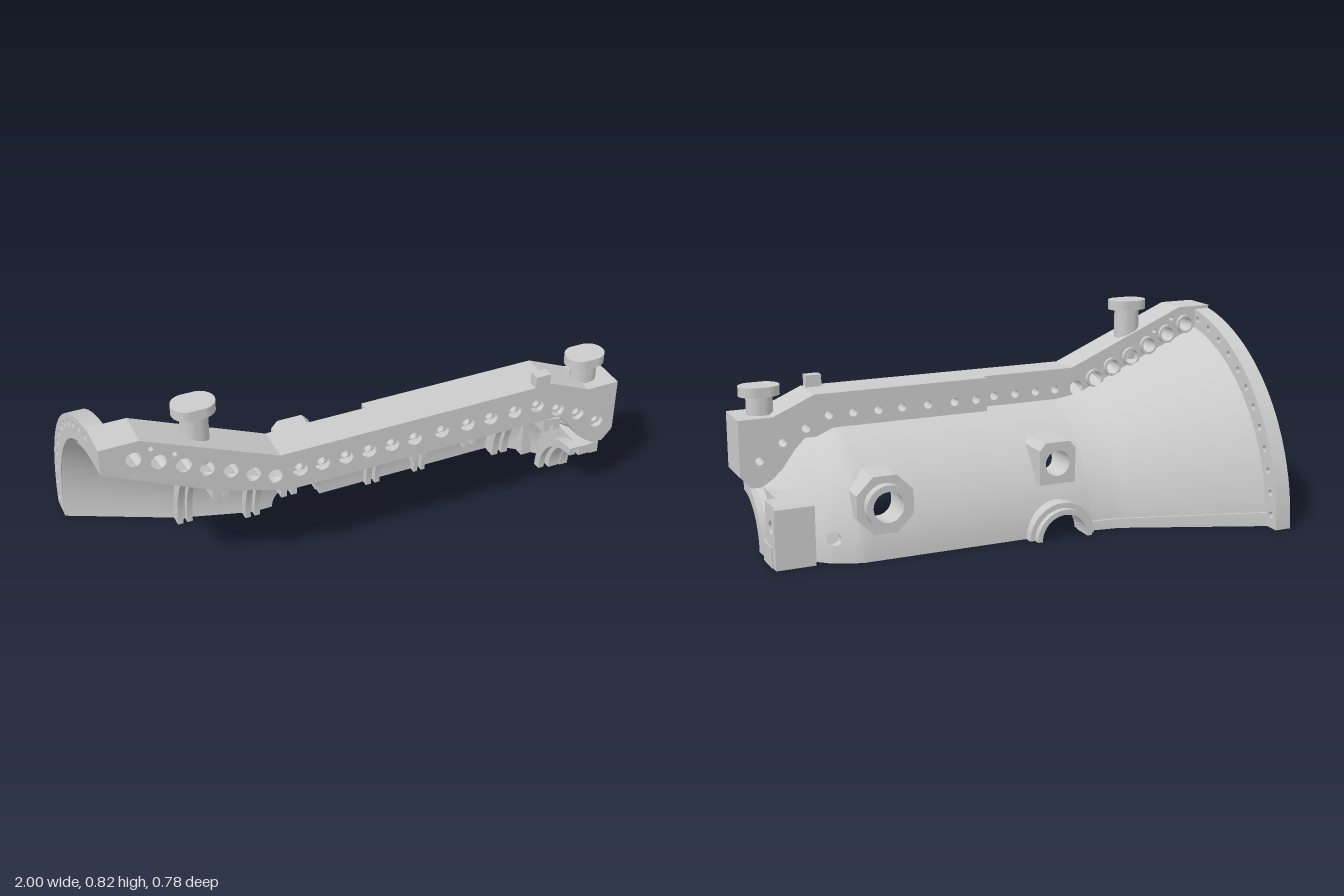
import * as THREE from 'three';
import { mergeGeometries, mergeVertices, toCreasedNormals } from 'three/addons/utils/BufferGeometryUtils.js';

const AXIS_Z = 0.39; // casing axis runs along x at y = 0, z = AXIS_Z
const INNER = [[-1, .68], [-.6, .49], [-.4, .43], [-.33, .41], [.7, .41], [.78, .37], [.92, .24]];
const OUTER = [[-1, .73], [-.93, .705], [-.4, .485], [-.3, .47], [.64, .47], [.74, .43], [.92, .27]];
const mat = new THREE.MeshStandardMaterial({ color: 0xcccccc, side: THREE.DoubleSide });

function radius(knots, x) {
  for (let i = 1; i < knots.length; i++) {
    const [x0, r0] = knots[i - 1], [x1, r1] = knots[i];
    if (x <= x1) return r0 + (r1 - r0) * (x - x0) / (x1 - x0);
  }
  return knots[knots.length - 1][1];
}
// point on the casing, by height and by angle
const atY = (x, y, r) => [x, y, AXIS_Z - Math.sqrt(Math.max(0, r * r - y * y))];
const atA = (x, a, r) => [x, r * Math.sin(a), AXIS_Z - r * Math.cos(a)];

// grid surface from a function of u, v in 0..1
function sheet(nu, nv, fn) {
  const pos = [], idx = [];
  for (let j = 0; j <= nv; j++) for (let i = 0; i <= nu; i++) pos.push(...fn(i / nu, j / nv));
  for (let j = 0; j < nv; j++) for (let i = 0; i < nu; i++) {
    const a = j * (nu + 1) + i, b = a + nu + 1;
    idx.push(a, a + 1, b, b, a + 1, b + 1);
  }
  const g = new THREE.BufferGeometry();
  g.setAttribute('position', new THREE.Float32BufferAttribute(pos, 3));
  g.setIndex(idx);
  return g;
}
function flip(g) {
  const i = g.index.array;
  for (let k = 0; k < i.length; k += 3) [i[k], i[k + 1]] = [i[k + 1], i[k]];
  return g;
}
const lerp = THREE.MathUtils.lerp;

// patch of the wall, plain or with a round opening bored along z
function patch(x0, x1, a0, a1, hole) {
  const out = [], plain = k => sheet(Math.ceil((x1 - x0) / .03), Math.ceil((a1 - a0) / .06),
    (u, v) => { const x = lerp(x0, x1, u); return atA(x, lerp(a0, a1, v), radius(k, x)); });
  if (!hole) {
    out.push(flip(plain(OUTER)), plain(INNER));
  } else {
    const [hx, hy, hr, half] = hole, span = half ? Math.PI : Math.PI * 2;
    const ring = k => sheet(48, 5, (u, v) => {
      const t = u * span, c = Math.cos(t), s = Math.sin(t), m = Math.max(Math.abs(c), Math.abs(s));
      const ex = lerp(x0, x1, .5 + .5 * c / m);
      const ea = half ? a1 * s / m : lerp(a0, a1, .5 + .5 * s / m);
      const x = lerp(hx + hr * c, ex, v);
      return atY(x, lerp(hy + hr * s, radius(k, ex) * Math.sin(ea), v), radius(k, x));
    });
    const bore = sheet(48, 1, (u, v) => {
      const x = hx + hr * Math.cos(u * span), y = hy + hr * Math.sin(u * span);
      return atY(x, y, radius(v ? OUTER : INNER, x));
    });
    out.push(ring(OUTER), flip(ring(INNER)), bore);
  }
  return out;
}
// quarter revolve of a closed [x, r] profile, with end caps
function revolve(profile, a0 = 0, a1 = Math.PI / 2) {
  const pts = [...profile, profile[0]].map(([x, r]) => new THREE.Vector2(r, x));
  const body = new THREE.LatheGeometry(pts, 32, Math.PI + a0, a1 - a0);
  body.rotateZ(-Math.PI / 2);
  const cap = a => new THREE.ShapeGeometry(poly(profile)).rotateX(a - Math.PI / 2);
  return toCreasedNormals(mergeGeometries([body, cap(a0), cap(a1)]), .6).translate(0, 0, AXIS_Z);
}
const poly = pts => new THREE.Shape(pts.map(p => new THREE.Vector2(...p)));
const circle = (x, y, r) => new THREE.Path().absarc(x, y, r, 0, Math.PI * 2, true);
function extrude(shape, z0, z1) {
  return new THREE.ExtrudeGeometry(shape, { depth: z1 - z0, bevelEnabled: false, curveSegments: 20 }).translate(0, 0, z0);
}
// extrude along x of a shape drawn in (distance behind axis, y)
const extrudeX = (shape, x0, x1) => extrude(shape, x0, x1).rotateY(Math.PI / 2).translate(0, 0, AXIS_Z);
function stadium(w, d) {
  const s = new THREE.Shape(), r = d / 2, h = w / 2 - r;
  s.absarc(h, 0, r, -Math.PI / 2, Math.PI / 2);
  s.absarc(-h, 0, r, Math.PI / 2, Math.PI * 1.5);
  return s;
}

export function createModel() {
  const model = new THREE.Group();
  const add = (name, g) => {
    const m = new THREE.Mesh(g, mat);
    m.name = name;
    model.add(m);
  };
  const box = (name, x0, x1, y0, y1, z0, z1) => add(name,
    new THREE.BoxGeometry(x1 - x0, y1 - y0, z1 - z0).translate((x0 + x1) / 2, (y0 + y1) / 2, (z0 + z1) / 2));

  // casing wall in columns; each opening is [x, y, radius, half]
  const top = Math.PI / 2;
  const walls = [
    [-1, -.29, 0, top],
    [-.29, -.01, 0, .4, [-.15, 0, .1, true]], [-.29, -.01, .4, 1.05, [-.15, .28, .05]], [-.29, -.01, 1.05, top],
    [-.01, .43, 0, top],
    [.43, .67, 0, .2], [.43, .67, .2, .9, [.55, .21, .065]], [.43, .67, .9, top],
    [.67, .79, 0, .08], [.67, .79, .08, .4, [.73, .09, .025]], [.67, .79, .4, top],
    [.79, .92, 0, top],
  ].flatMap(w => patch(...w));
  for (const [x0, x1] of [[-1, -.25], [-.05, .92]]) // lower joint face
    walls.push(sheet(40, 1, (u, v) => { const x = lerp(x0, x1, u); return atA(x, 0, radius(v ? OUTER : INNER, x)); }));
  add('casingWall', toCreasedNormals(mergeVertices(mergeGeometries(walls), 1e-4), .6));

  // inner guide rings
  for (const [x0, x1] of [[-.62, -.56], [-.37, -.31], [.14, .2], [.35, .4], [.69, .76]]) {
    const r = Math.min(radius(INNER, x0), radius(INNER, x1)), m = (x0 + x1) / 2, w = .008;
    add('innerRing', revolve([[x0, r + .03], [x0, r - .025], [m - w, r - .025], [m - w, r],
      [m + w, r], [m + w, r - .025], [x1, r - .025], [x1, r + .02]]));
  }

  // large end flange with bolt holes
  const ring = new THREE.Shape();
  ring.absarc(0, 0, .78, 0, top);
  ring.absarc(0, 0, .69, top, 0, true);
  for (let i = 0; i < 13; i++) {
    const a = .07 + i * .116;
    ring.holes.push(circle(.745 * Math.cos(a), .745 * Math.sin(a), .013));
  }
  add('endFlange', extrudeX(ring, -1, -.935));
  // lip along the lower joint
  add('lowerLip', revolve([[-.94, .70], [-.4, .475], [-.29, .46], [-.29, .482], [-.4, .497], [-.94, .722]], 0, .075));

  // split-line flange: counterbored front layer and drilled rear layer
  const cutL = [[-1, .68], [-.6, .49], [-.4, .43], [-.33, .41], [.015, .41], [.015, .57], [-.37, .57], [-.86, .78], [-1, .78]];
  const cutR = [[.015, .41], [.75, .41], [.79, .37], [.84, .30], [.88, .265], [.92, .24], [.96, .24], [1, .285],
    [1, .5], [.87, .5], [.71, .57], [.015, .57]];
  const wide = [[-.885, .71], [-.8, .675], [-.715, .635], [-.635, .595], [-.55, .56], [-.47, .52], [-.39, .487]];
  const bored = [...[-.295, -.21, -.12, -.03, .06, .15, .26, .365, .46, .56, .655].map(x => [x, .487]),
    [.745, .445], [.835, .40], [.925, .34]];
  const plate = (pts, inside, r, z0, z1) => {
    const s = poly(pts);
    wide.filter(inside).forEach(([x, y]) => s.holes.push(circle(x, y, .028)));
    bored.filter(inside).forEach(([x, y]) => s.holes.push(circle(x, y, r)));
    if (pts === cutL) s.holes.push(circle(-.825, .735, .009), circle(-.745, .69, .009));
    add('splitFlange', extrude(s, z0, z1));
  };
  for (const [pts, inside, back] of [[cutL, p => p[0] < .015, .25], [cutR, p => p[0] > .015, .22]]) {
    plate(pts, inside, .028, .37, AXIS_Z);
    plate(pts, inside, .016, back, .37);
  }
  wide.slice(0, 6).forEach(([x, y]) => {
    const s = new THREE.Shape().absarc(x, y, .037, 0, Math.PI * 2);
    s.holes.push(circle(x, y, .028));
    add('holeCollar', extrude(s, .235, .25));
  });
  box('locatingTab', .64, .70, .56, .615, .35, .39);

  // lifting lugs
  for (const [x, y0, y1, yc] of [[-.645, .58, .82, .782], [.895, .48, .607, .57]]) {
    const lug = (name, w, d, a, b) => add(name, extrude(stadium(w, d), a, b).rotateX(-Math.PI / 2).translate(x, 0, .305));
    lug('lugPost', .1, .088, y0, yc);
    lug('lugCap', .155, .11, yc, y1);
  }

  // bosses facing the back, their roots fitted into the wall
  const boss = (name, shape, zTip, zRoot) => {
    const g = extrude(shape, zTip, 1), p = g.attributes.position;
    for (let i = 0; i < p.count; i++) if (p.getZ(i) > .9)
      p.setZ(i, zRoot ?? atY(0, p.getY(i), .44)[2]);
    g.computeVertexNormals();
    add(name, toCreasedNormals(g, .6));
  };
  const pillar = poly([[-.225, .2], [-.075, .2], [-.075, .335], [-.1, .363], [-.2, .363], [-.225, .335]]);
  pillar.holes.push(circle(-.15, .28, .05));
  boss('squareBoss', pillar, -.07);
  const disc = (r, hole, n) => {
    const s = poly(Array.from({ length: n }, (_, i) => {
      const t = (i + .5) / n * Math.PI * 2;
      return [.55 + r * Math.cos(t), .21 + r * Math.sin(t)];
    }));
    s.holes.push(circle(.55, .21, hole));
    return s;
  };
  boss('portBoss', disc(.118, .065, 8), -.085);
  boss('portRing', disc(.083, .058, 24), -.12, -.08);
  const arch = (r) => {
    const s = new THREE.Shape();
    s.absarc(-.15, 0, r, 0, Math.PI);
    s.absarc(-.15, 0, .095, Math.PI, 0, true);
    return s;
  };
  boss('halfPortBoss', arch(.135), -.115);
  boss('halfPortRing', arch(.115), -.14, -.11);

  // small end: bearing wall, seal rings and corner block
  const end = new THREE.Shape();
  end.moveTo(.195, 0).lineTo(.32, 0).lineTo(.32, .235).lineTo(0, .235).lineTo(0, .195);
  end.absarc(0, 0, .195, top, 0, true);
  add('bearingWall', extrudeX(end, .86, .91));
  for (const [x0, x1, r] of [[.82, .845, .205], [.845, .87, .225], [.91, .945, .19]])
    add('sealRing', revolve([[x0, r], [x1, r], [x1, .237], [x0, .237]]));
  const block = poly([[.31, 0], [.425, 0], [.425, .225], [.415, .235], [.31, .235]]);
  block.holes.push(circle(.375, .15, .025));
  add('cornerBlock', extrudeX(block, .8, .95));
  box('footPad', .9, .955, 0, .078, 0, .105);
  return model;
}
